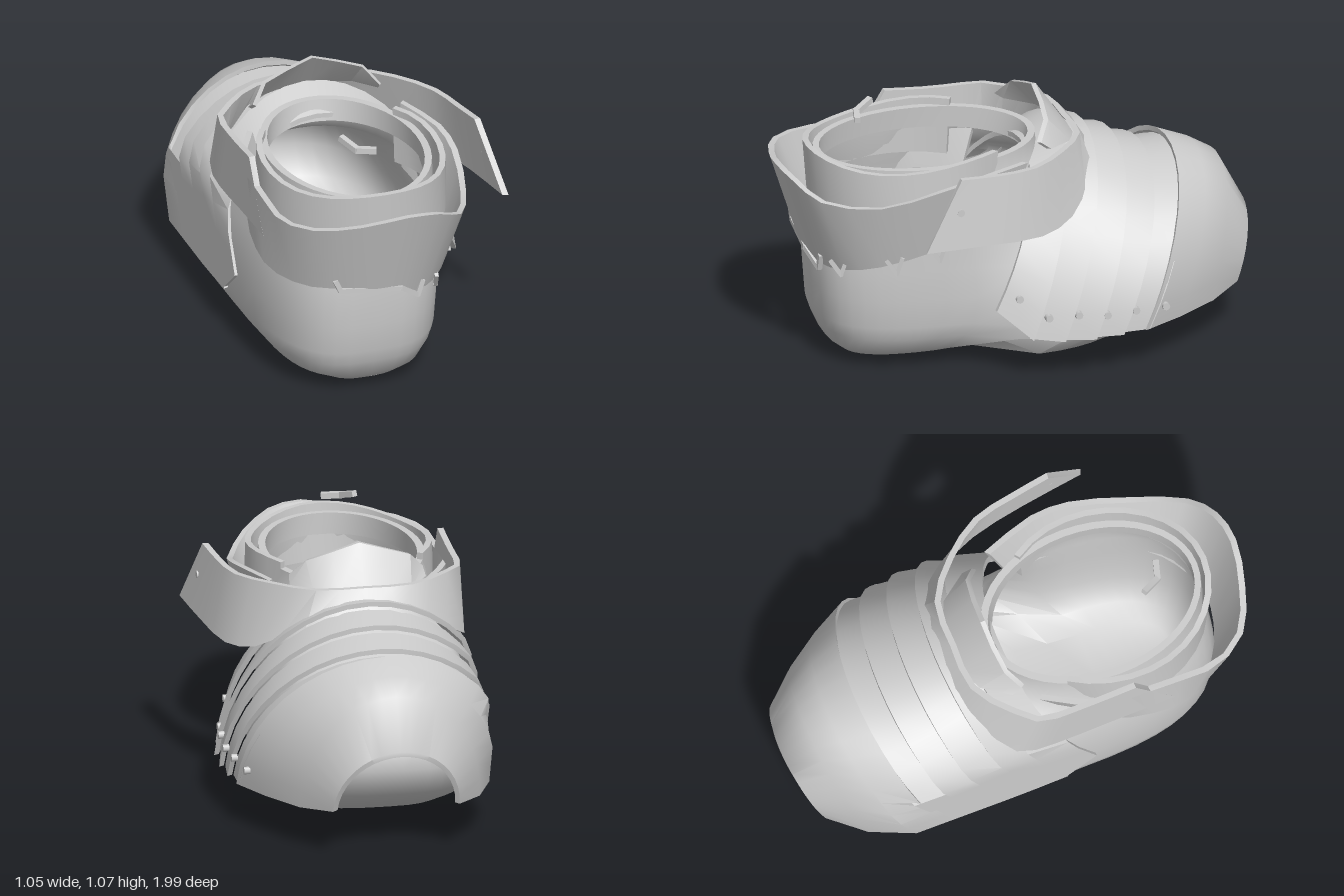
import * as THREE from 'three';
import { toCreasedNormals } from 'three/addons/utils/BufferGeometryUtils.js';

const CX = -0.08;      // centre line of the shoe
const WALL = -0.525;   // flat inner side
const V = (x, y, z) => new THREE.Vector3(x, y, z);

// Skin a list of rings (equal point counts, each ring closed), capped if asked
function loft(rings, caps, crease = 0.6) {
  const n = rings[0].length, pos = [], idx = [];
  rings.forEach(r => r.forEach(p => pos.push(p.x, p.y, p.z)));
  for (let i = 0; i < rings.length - 1; i++) {
    for (let j = 0; j < n; j++) {
      const a = i * n + j, b = i * n + (j + 1) % n;
      idx.push(a, b, a + n, b, b + n, a + n);
    }
  }
  if (caps) {
    const e = (rings.length - 1) * n;
    for (let j = 0; j < n / 2 - 1; j++) {
      const k = n - 1 - j;
      idx.push(j, k, j + 1, j + 1, k, k - 1);
      idx.push(e + j, e + j + 1, e + k, e + j + 1, e + k - 1, e + k);
    }
  }
  const g = new THREE.BufferGeometry();
  g.setAttribute('position', new THREE.Float32BufferAttribute(pos, 3));
  g.setIndex(idx);
  return toCreasedNormals(g, crease);
}

// Thick curved plate: rows are edge curves t -> point, thickened toward centre(p)
function plate(rows, segments, centre, th = 0.025) {
  const rings = [];
  for (let i = 0; i <= segments; i++) {
    const outer = rows.map(f => f(i / segments));
    const inner = outer.map(p => {
      const q = p.clone().addScaledVector(centre(p).sub(p).normalize(), th);
      q.x = Math.max(q.x, WALL + th);
      return q;
    });
    outer.forEach(p => { p.x = Math.max(p.x, WALL); });
    rings.push([...outer, ...inner.reverse()]);
  }
  return loft(rings, true);
}

const inward = p => V(CX, p.y, 0.35);
const downward = p => V(CX, 0.3, p.z);

// Leaning arch over the foot
const arch = (zb, zt, yb, yt, w) => t => {
  const a = Math.PI * t, s = Math.sin(a);
  return V(CX + w * Math.cos(a), yb + (yt - yb) * s, zb + (zt - zb) * s);
};

// Smooth curve through points
function through(points) {
  const c = new THREE.CatmullRomCurve3(points.map(p => V(...p)));
  return t => c.getPoint(t);
}

// Curve mirrored about the centre line, given as [dx, y, z] from the middle outward
const mirrored = half => through([
  ...half.slice(1).reverse().map(([x, y, z]) => [CX - x, y, z]),
  ...half.map(([x, y, z]) => [CX + x, y, z])]);

// Rounded, slightly squared ring coordinate
const squared = (v, e) => Math.sign(v) * Math.abs(v) ** e;

// Horizontal slice of the shoe; the ball of the foot swells by flare, the sole notches at the instep
const slice = ([y, z0, z1, x0, x1, flare, e]) => Array.from({ length: 44 }, (_, j) => {
  const a = j / 44 * Math.PI * 2, c = squared(Math.cos(a), e);
  const z = (z0 + z1) / 2 + (z1 - z0) / 2 * squared(Math.sin(a), e);
  const heel = THREE.MathUtils.smoothstep(z, -0.05, 0.3);
  const notch = 0.03 * heel + 0.07 * Math.exp(-(((z - 0.15) / 0.06) ** 2));
  return V((x0 + x1) / 2 + (x1 - x0) / 2 * c + Math.max(c, 0) * flare * (1 - heel),
    y + notch * Math.max(0, 1 - y / 0.2), z);
});

export function createModel() {
  const group = new THREE.Group();
  const steel = new THREE.MeshStandardMaterial({ color: 0xcccccc, side: THREE.DoubleSide });
  steel.name = 'greySteel';
  const add = (name, geo) => {
    const m = new THREE.Mesh(geo, steel);
    m.name = name;
    group.add(m);
    return m;
  };

  // Shoe body: slices [y, toe z, heel z, left x, right x, flare, squareness]
  add('shoeBody', loft([
    [0, -0.25, 0.7, -0.12, -0.12, 0, 0.65], [0, -0.25, 0.7, -0.34, 0.08, 0.04, 0.65],
    [0.05, -0.45, 0.75, -0.44, 0.17, 0.13, 0.65], [0.13, -0.63, 0.78, -0.495, 0.22, 0.14, 0.65],
    [0.2, -0.74, 0.8, -0.51, 0.24, 0.13, 0.65], [0.32, -0.8, 0.81, -0.515, 0.25, 0.11, 0.65],
    [0.45, -0.77, 0.82, -0.515, 0.255, 0.06, 0.65], [0.55, -0.65, 0.815, -0.5, 0.25, 0.02, 0.7],
    [0.63, -0.45, 0.81, -0.48, 0.25, 0, 0.75], [0.7, -0.22, 0.81, -0.46, 0.245, 0, 0.9],
    [0.78, -0.13, 0.805, -0.445, 0.235, 0, 1], [0.89, -0.12, 0.8, -0.43, 0.23, 0, 1],
    [0.89, -0.09, 0.775, -0.4, 0.2, 0, 1], [0.8, -0.07, 0.775, -0.41, 0.21, 0, 1],
  ].map(slice), false, 0.8));

  // Overlapping instep plates [bottom z, top z, bottom y, top y, half width]
  const lines = [
    [0.2, -0.06, 0.31, 0.86, 0.5], [0.075, -0.2, 0.19, 0.9, 0.54], [-0.05, -0.32, 0.18, 0.87, 0.57],
    [-0.18, -0.44, 0.175, 0.81, 0.575], [-0.3, -0.56, 0.175, 0.75, 0.565], [-0.42, -0.69, 0.175, 0.72, 0.54],
  ];
  for (let i = 0; i < 5; i++) {
    const [zb, zt, yb, yt, w] = lines[i];
    const [zb2, zt2, yb2, yt2, w2] = lines[i + 1];
    add('instepPlate', plate([arch(zb, zt, yb, yt - 0.02, w - 0.015),
      arch(zb2 - 0.01, zt2 - 0.01, yb2, yt2 + 0.015, w2 + 0.012)], 20, downward, 0.02));
  }

  // Toe cap with an open tip
  add('toeCap', plate([
    arch(-0.41, -0.68, 0.175, 0.77, 0.56), arch(-0.58, -0.8, 0.175, 0.725, 0.475),
    arch(-0.76, -0.895, 0.18, 0.67, 0.37), arch(-0.9, -1, 0.2, 0.47, 0.26),
  ], 20, downward, 0.02));

  // Ankle strap with free side flaps
  const strapTop = [[0, 0.92, -0.26], [0.2, 0.92, -0.25], [0.36, 0.92, -0.13], [0.48, 0.915, 0.03], [0.52, 0.92, 0.2], [0.545, 0.935, 0.37]];
  const strapBottom = [[0, 0.83, -0.34], [0.25, 0.78, -0.29], [0.43, 0.66, -0.14], [0.52, 0.63, 0.02], [0.57, 0.645, 0.26], [0.605, 0.66, 0.54]];
  add('ankleStrap', plate([mirrored(strapBottom), mirrored(strapTop)], 20, inward));

  // Pointed tongue leaning over the ankle
  add('tongue', plate([
    mirrored([[0, 0.88, -0.26], [0.11, 0.885, -0.25], [0.2, 0.89, -0.21], [0.28, 0.9, -0.1]]),
    mirrored([[0, 1.07, -0.13], [0.11, 1.035, -0.125], [0.215, 1.0, -0.11], [0.275, 0.93, -0.06]]),
  ], 6, inward, 0.02));

  // Flared heel collar with an uneven rim
  add('heelCollar', plate([
    through([[-0.36, 0.62, 0.08], [-0.48, 0.6, 0.25], [-0.53, 0.56, 0.45], [-0.5, 0.53, 0.63], [-0.4, 0.52, 0.77],
      [-0.25, 0.52, 0.84], [-0.1, 0.5, 0.86], [0.02, 0.46, 0.83], [0.13, 0.46, 0.76], [0.22, 0.49, 0.63],
      [0.27, 0.55, 0.42], [0.27, 0.6, 0.25], [0.24, 0.63, 0.1]]),
    through([[-0.4, 0.85, 0], [-0.53, 0.84, 0.25], [-0.57, 0.83, 0.45], [-0.54, 0.82, 0.68], [-0.43, 0.83, 0.87],
      [-0.25, 0.85, 0.95], [-0.06, 0.88, 0.985], [0.08, 0.86, 0.96], [0.2, 0.8, 0.88], [0.3, 0.78, 0.66],
      [0.35, 0.84, 0.42], [0.34, 0.87, 0.25], [0.26, 0.88, 0.02]]),
  ], 24, inward));

  // Inner collar ring
  const ringRow = (rx, rz, y) => t => {
    const a = (t - 0.5) * 4.5;
    return V(-0.1 + rx * Math.sin(a), y(a), 0.4 + rz * Math.cos(a));
  };
  add('innerCollar', plate([ringRow(0.38, 0.42, () => 0.68),
    ringRow(0.375, 0.44, a => 0.905 + 0.015 * Math.cos(3 * a))], 22, inward));

  // Rivets along the plate ends and the strap flaps
  [[0.42, 0.36, 0.11], [0.465, 0.28, 0], [0.485, 0.285, -0.12], [0.49, 0.27, -0.24],
    [0.48, 0.27, -0.365], [0.455, 0.26, -0.5], [0.475, 0.8, 0.38]].forEach(([x, y, z]) => {
    const r = add('rivet', new THREE.CylinderGeometry(0.016, 0.016, 0.025, 8));
    r.rotation.z = Math.PI / 2;
    r.position.set(x, y, z);
  });

  // Torn strips: thin bars following a broken line
  const strip = (name, pts, th) => {
    for (let i = 0; i < pts.length - 1; i++) {
      const a = V(...pts[i]), b = V(...pts[i + 1]);
      const bar = add(name, new THREE.BoxGeometry(th, th, a.distanceTo(b) + th * 0.5));
      bar.position.copy(a).add(b).multiplyScalar(0.5);
      bar.lookAt(b);
    }
  };
  strip('tornTrim', [[-0.32, 0.56, 0.83], [-0.3, 0.515, 0.83], [-0.05, 0.5, 0.86], [0.03, 0.44, 0.83], [0.05, 0.5, 0.83]], 0.02);
  [[0.12, 0.47, 0.77], [0.23, 0.49, 0.57], [0.27, 0.54, 0.4]].forEach(([x, y, z]) =>
    strip('tornStitch', [[x, y + 0.03, z + 0.04], [x + 0.01, y - 0.03, z], [x + 0.02, y + 0.04, z - 0.02]], 0.016));

  // Loose shard above the opening
  strip('looseShard', [[-0.19, 1.045, 0.54], [-0.15, 1.02, 0.61], [-0.08, 1.015, 0.63]], 0.024);

  return group;
}
